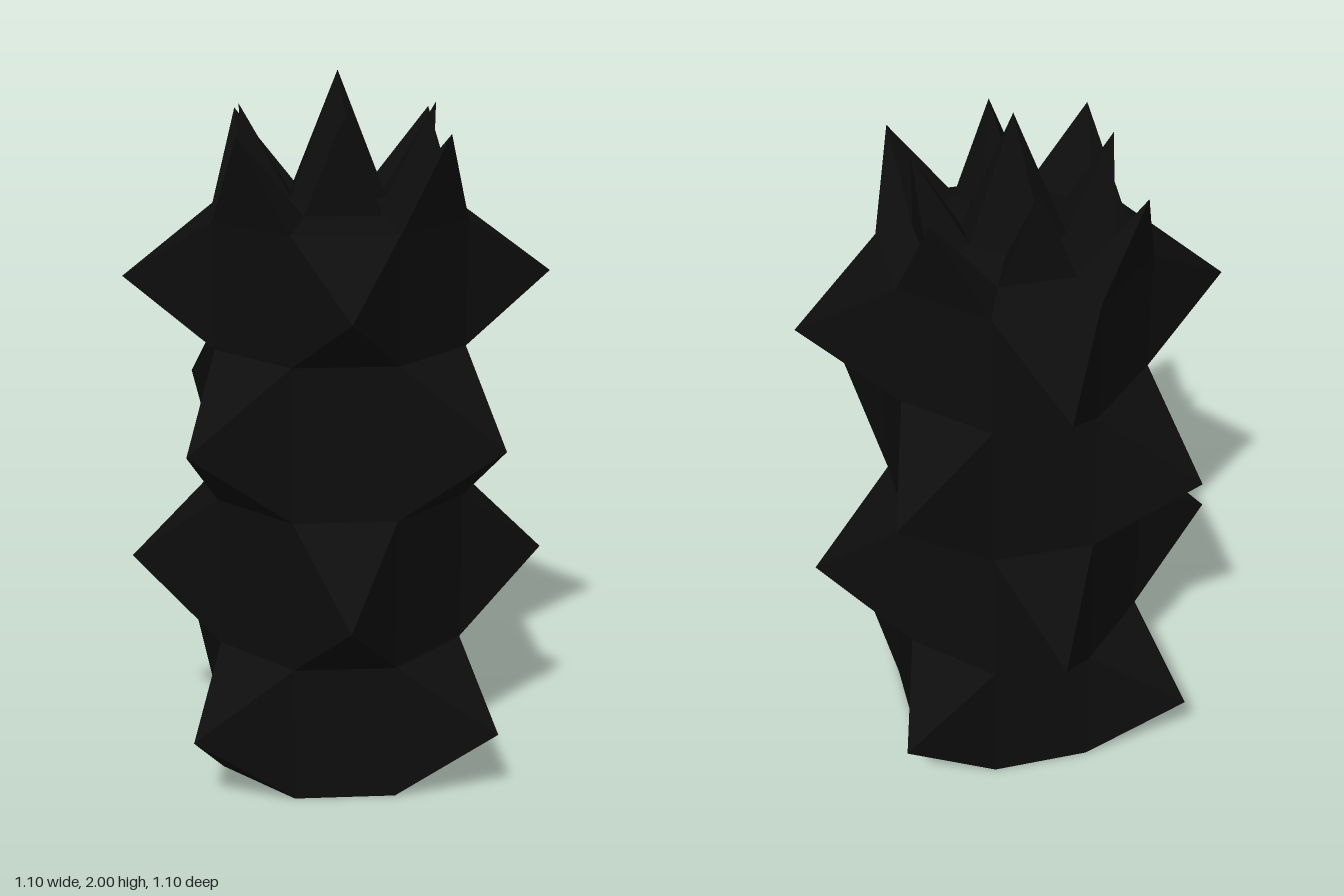
import * as THREE from 'three';

const SIDES = 8;

// Point at ring step k (fractions allowed), radius r, height y
function at(k, r, y) {
  const a = (k / SIDES) * Math.PI * 2;
  return [r * Math.cos(a), y, r * Math.sin(a)];
}

function makeMesh(name, points, material) {
  const geometry = new THREE.BufferGeometry();
  geometry.setAttribute('position', new THREE.Float32BufferAttribute(points.flat(), 3));
  geometry.computeVertexNormals();
  const mesh = new THREE.Mesh(geometry, material);
  mesh.name = name;
  return mesh;
}

// Eight-sided band between two rings; every other face rises to a spike
function spikedBand(name, lower, upper, tip, parity, material) {
  const points = [];
  for (let k = 0; k < SIDES; k++) {
    const quad = [at(k, ...lower), at(k, ...upper), at(k + 1, ...upper), at(k + 1, ...lower)];
    if (k % 2 === parity) {
      const peak = at(k + 0.5, ...tip);
      for (let i = 0; i < 4; i++) points.push(quad[i], quad[(i + 1) % 4], peak);
    } else {
      points.push(quad[0], quad[1], quad[2], quad[0], quad[2], quad[3]);
    }
  }
  return makeMesh(name, points, material);
}

// Fan from a ring to a centre point
function cap(name, [r, y], peakY, up, material) {
  const points = [];
  for (let k = 0; k < SIDES; k++) {
    const a = at(k, r, y), b = at(k + 1, r, y);
    points.push([0, peakY, 0], up ? b : a, up ? a : b);
  }
  return makeMesh(name, points, material);
}

export function createModel() {
  const group = new THREE.Group();
  group.name = 'spikedColumn';
  const black = new THREE.MeshStandardMaterial({ color: 0x0d0d0d });
  black.name = 'black';

  // Body: four tiers whose spikes alternate from tier to tier
  const R = 0.372, TIP = 0.595;
  const waists = [0, 0.398, 0.832, 1.267, 1.618];
  const tips = [0.223, 0.615, 1.05, 1.443];
  tips.forEach((y, i) => {
    group.add(spikedBand(`bodyTier${i + 1}`, [R, waists[i]], [R, waists[i + 1]], [TIP, y], i % 2, black));
  });
  group.add(cap('base', [R, 0], 0, false, black));

  // Crown: two rings of upright spikes around a central point
  const outer = [R, 1.618], middle = [0.27, 1.65], inner = [0.14, 1.665];
  group.add(spikedBand('outerCrownSpikes', outer, middle, [0.392, 1.865], 0, black));
  group.add(spikedBand('innerCrownSpikes', middle, inner, [0.267, 1.913], 1, black));
  group.add(cap('centralSpike', inner, 2, true, black));

  return group;
}
